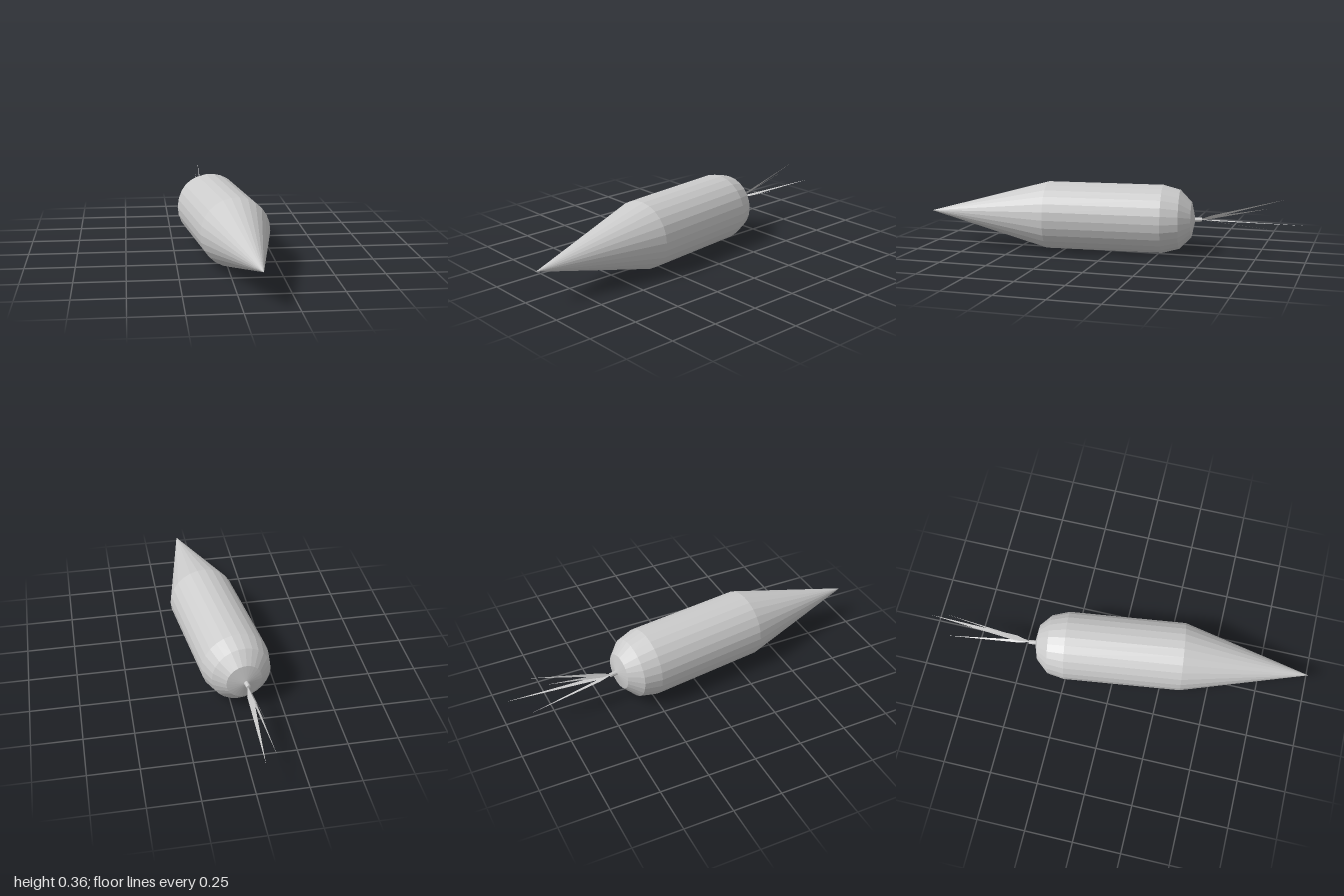
import * as THREE from 'three';

const SIDES = 26;
const YAW = 0.13; // lean of the root's long axis towards +x
const material = new THREE.MeshStandardMaterial({ color: 0xcccccc, flatShading: true });
const leafMaterial = new THREE.MeshStandardMaterial({ color: 0xcccccc, flatShading: true, side: THREE.DoubleSide });

// Skin round cross-sections [x, y, z, radius], ordered front to back.
function loft(rings, sides) {
  const positions = [];
  const index = [];
  for (const [x, y, z, r] of rings) {
    for (let i = 0; i < sides; i++) {
      const a = (i / sides) * Math.PI * 2;
      const u = Math.cos(a) * r;
      positions.push(x + u * Math.cos(YAW), y + Math.sin(a) * r, z - u * Math.sin(YAW));
    }
  }
  for (let j = 0; j < rings.length - 1; j++) {
    for (let i = 0; i < sides; i++) {
      const k = (i + 1) % sides;
      const f0 = j * sides + i, f1 = j * sides + k;
      const b0 = f0 + sides, b1 = f1 + sides;
      if (rings[j + 1][3] > 0) index.push(b0, b1, f0);
      if (rings[j][3] > 0) index.push(b1, f1, f0);
      if (rings[j + 1][3] === 0) index.push(b0, f1, f0).valueOf();
    }
  }
  const g = new THREE.BufferGeometry();
  g.setAttribute('position', new THREE.Float32BufferAttribute(positions, 3));
  g.setIndex(index);
  g.computeVertexNormals();
  return g;
}

// Slim kite-shaped blade from base to tip, widest near the base.
function blade(base, tip, side, width) {
  const mid = base.clone().lerp(tip, 0.15);
  const s = side.clone().normalize().multiplyScalar(width / 2);
  const points = [base, mid.clone().add(s), tip, mid.clone().sub(s)];
  const g = new THREE.BufferGeometry().setFromPoints(points);
  g.setIndex([0, 1, 2, 0, 2, 3]);
  g.computeVertexNormals();
  return g;
}

export function createModel() {
  const group = new THREE.Group();
  const add = (name, geometry, mat, parent = group) => {
    const mesh = new THREE.Mesh(geometry, mat);
    mesh.name = name;
    parent.add(mesh);
  };

  // Pointed root, straight body and rounded shoulder
  add('root', loft([
    [0.085, 0.182, 0.99, 0],
    [0.036, 0.184, 0.338, 0.176],
    [-0.04, 0.179, -0.262, 0.177],
    [-0.054, 0.179, -0.35, 0.153],
    [-0.057, 0.179, -0.41, 0.092],
    [-0.062, 0.179, -0.43, 0],
  ], SIDES), material);

  // Short stalk
  add('stalk', loft([
    [-0.062, 0.18, -0.42, 0.012],
    [-0.068, 0.181, -0.462, 0.011],
    [-0.068, 0.181, -0.463, 0],
  ], 10), material);

  // Leaves: tip, direction of the blade's width, width
  const leaves = new THREE.Group();
  leaves.name = 'leaves';
  group.add(leaves);
  const base = new THREE.Vector3(-0.066, 0.181, -0.45);
  const blades = [
    [[-0.04, 0.183, -1.0], [1, 0, 0], 0.03],
    [[-0.062, 0.305, -0.88], [0.5, 0.85, 0.25], 0.016],
    [[-0.083, 0.252, -0.8], [0.6, 0.8, 0.2], 0.016],
    [[-0.115, 0.13, -0.9], [1, 0.3, 0], 0.016],
  ];
  for (const [tip, side, width] of blades) {
    add('leaf', blade(base, new THREE.Vector3(...tip), new THREE.Vector3(...side), width), leafMaterial, leaves);
  }
  return group;
}
